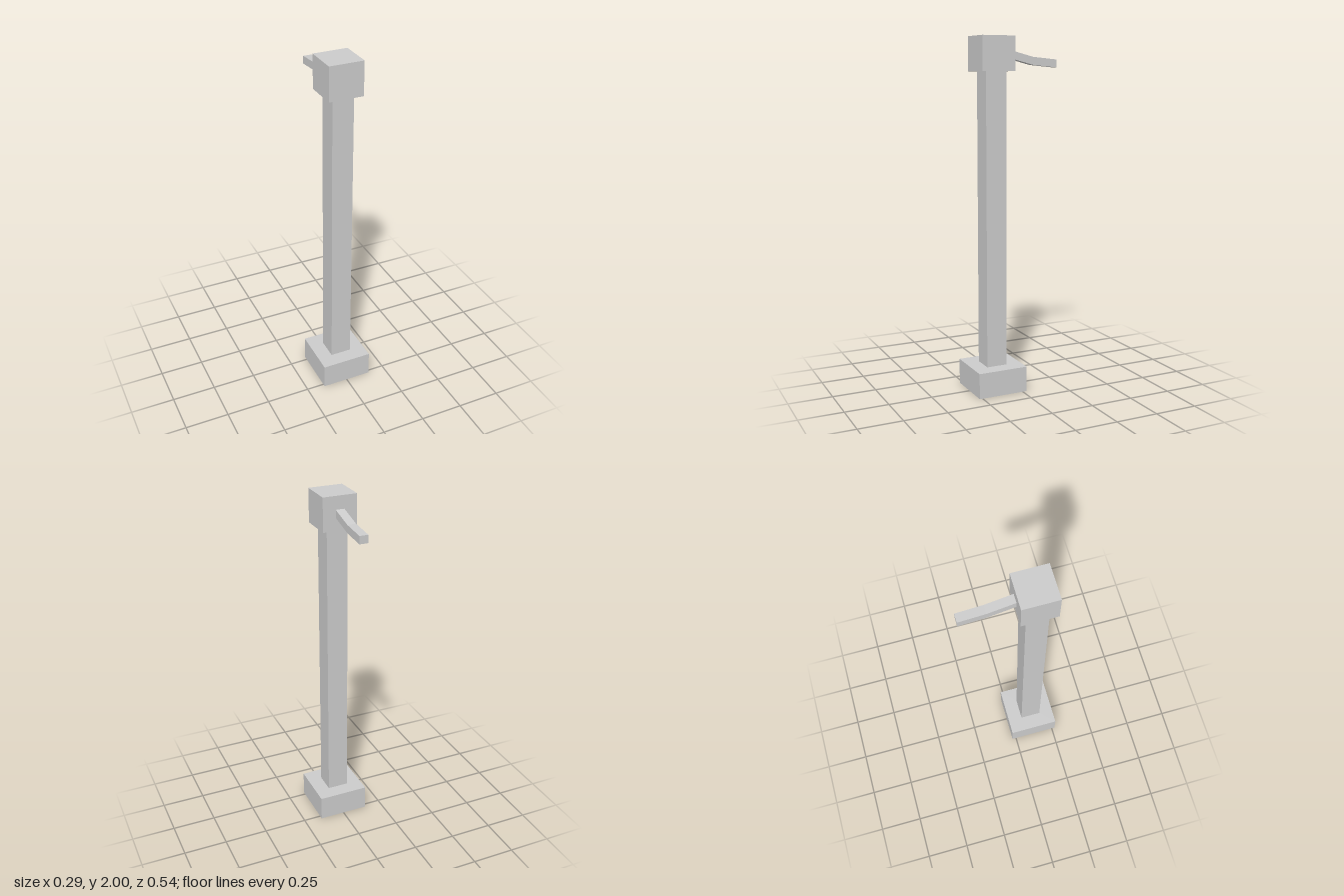
import * as THREE from 'three';

export function createModel() {
  const group = new THREE.Group();
  const material = new THREE.MeshStandardMaterial({ color: 0xcccccc, flatShading: true });
  const postZ = 0.122;

  const add = (name, geometry) => {
    const mesh = new THREE.Mesh(geometry, material);
    mesh.name = name;
    group.add(mesh);
    return mesh;
  };

  // Square block standing on the post axis between two heights
  const block = (name, width, y0, y1) =>
    add(name, new THREE.BoxGeometry(width, y1 - y0, width)).position.set(0, (y0 + y1) / 2, postZ);

  block('base', 0.293, 0, 0.146);
  block('column', 0.122, 0.146, 1.81);
  block('head', 0.195, 1.81, 2);

  // Bent handle behind the head: side profile [distance back, height of centreline]
  const path = [[-0.024, 1.904], [0.122, 1.867], [0.268, 1.854]];
  const half = 0.022, width = 0.049;
  const outline = [
    ...path.map(([x, y]) => new THREE.Vector2(x, y - half)),
    ...path.map(([x, y]) => new THREE.Vector2(x, y + half)).reverse(),
  ];
  const handle = new THREE.ExtrudeGeometry(new THREE.Shape(outline), { depth: width, bevelEnabled: false });
  handle.translate(0, 0, -width / 2).rotateY(Math.PI / 2);
  add('handle', handle);

  return group;
}
